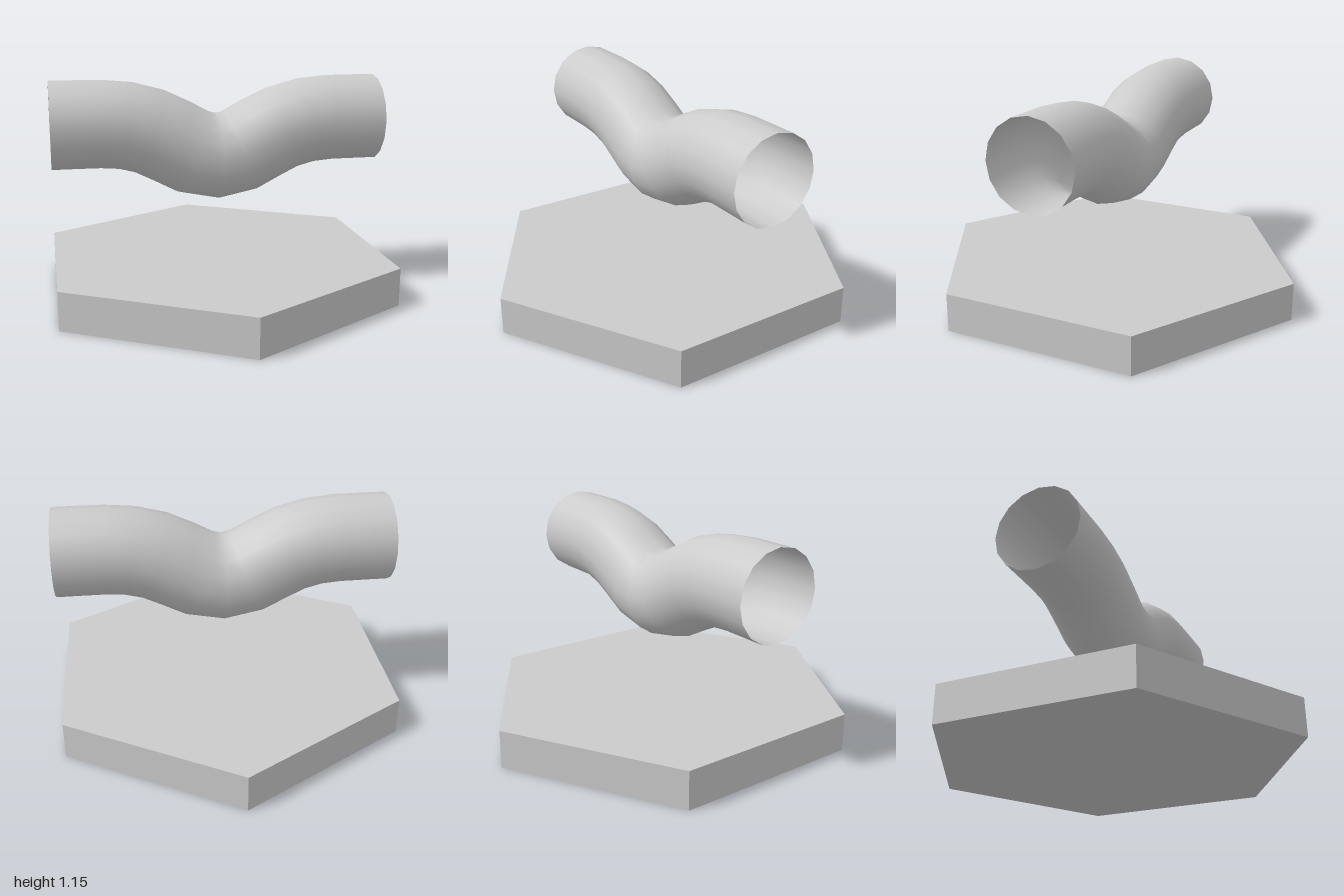
import * as THREE from 'three';

export function createModel() {
  const model = new THREE.Group();

  // Hexagonal slab with corners on the z axis
  const slab = new THREE.Mesh(
    new THREE.CylinderGeometry(1, 1, 0.2, 6),
    new THREE.MeshStandardMaterial({ color: 0xcccccc, flatShading: true })
  );
  slab.name = 'hexBase';
  slab.position.y = 0.1;
  model.add(slab);

  // Open pipe that dips in the middle; half the centre line, mirrored in x
  const half = [
    [0.115, 0.75], [0.235, 0.812], [0.35, 0.868], [0.48, 0.903],
    [0.6, 0.914], [0.73, 0.915], [0.866, 0.915],
  ];
  const points = [
    ...half.map(([x, y]) => new THREE.Vector3(-x, y, 0)).reverse(),
    new THREE.Vector3(0, 0.728, 0),
    ...half.map(([x, y]) => new THREE.Vector3(x, y, 0)),
  ];
  const path = new THREE.CatmullRomCurve3(points);
  const pipe = new THREE.Mesh(
    new THREE.TubeGeometry(path, 14, 0.23, 16, false),
    new THREE.MeshStandardMaterial({ color: 0xcccccc, side: THREE.DoubleSide })
  );
  pipe.name = 'dippedPipe';
  model.add(pipe);

  return model;
}
